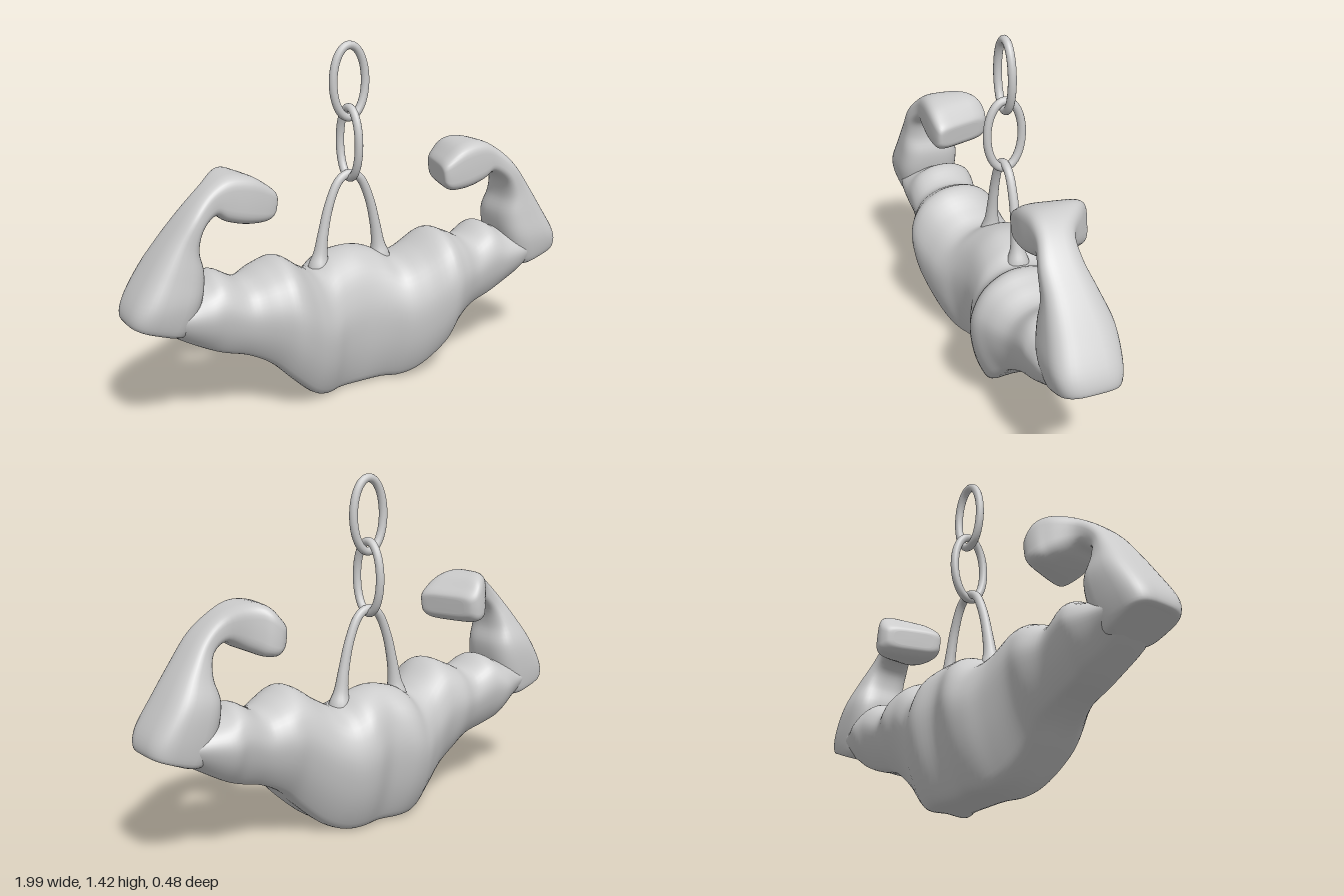
import * as THREE from 'three';

const material = new THREE.MeshStandardMaterial({ color: 0xcccccc });

// Smoothly interpolates the rows of a small table of stations.
function smoothRows(rows, steps) {
  const out = [];
  const last = rows.length - 1;
  for (let i = 0; i < last; i++) {
    const [a, b, c, d] = [rows[Math.max(i - 1, 0)], rows[i], rows[i + 1], rows[Math.min(i + 2, last)]];
    for (let s = 0; s < steps; s++) {
      const t = s / steps;
      out.push(b.map((v, k) => v + 0.5 * t * (c[k] - a[k] +
        t * (2 * a[k] - 5 * v + 4 * c[k] - d[k] + t * (3 * (v - c[k]) + d[k] - a[k])))));
    }
  }
  out.push(rows[last]);
  return out;
}

// Closed skin over rings of points, with capped ends and outward faces.
function loft(rings) {
  const n = rings[0].length;
  const points = rings.flat();
  const index = [];
  for (let i = 0; i < rings.length - 1; i++) {
    for (let j = 0; j < n; j++) {
      const a = i * n + j, b = i * n + (j + 1) % n;
      index.push(a, b, a + n, b, b + n, a + n);
    }
  }
  [0, rings.length - 1].forEach((r, end) => {
    const centre = rings[r].reduce((s, p) => s.add(p), new THREE.Vector3()).divideScalar(n);
    points.push(centre);
    for (let j = 0; j < n; j++) {
      const a = r * n + j, b = r * n + (j + 1) % n;
      index.push(points.length - 1, end ? a : b, end ? b : a);
    }
  });
  let volume = 0;
  for (let i = 0; i < index.length; i += 3) {
    const [a, b, c] = [0, 1, 2].map((k) => points[index[i + k]]);
    volume += a.dot(b.clone().cross(c));
  }
  if (volume < 0) index.reverse();
  const geometry = new THREE.BufferGeometry().setFromPoints(points);
  geometry.setIndex(index);
  geometry.computeVertexNormals();
  return geometry;
}

function add(parent, name, geometry) {
  const mesh = new THREE.Mesh(geometry, material);
  mesh.name = name;
  parent.add(mesh);
  return mesh;
}

// Torso and upper arms: x, top, bottom, front, back
function torsoGeometry() {
  const half = [
    [0, 0.575, 0.005, 0.12, -0.225],
    [0.1, 0.555, 0.005, 0.135, -0.25],
    [0.18, 0.515, 0.008, 0.17, -0.23],
    [0.26, 0.55, 0.045, 0.2, -0.195],
    [0.36, 0.615, 0.135, 0.232, -0.172],
    [0.44, 0.59, 0.212, 0.205, -0.17],
    [0.53, 0.555, 0.26, 0.165, -0.14],
    [0.63, 0.6, 0.29, 0.155, -0.15],
    [0.7, 0.57, 0.32, 0.155, -0.158],
    [0.79, 0.545, 0.37, 0.15, -0.122],
    [0.88, 0.52, 0.425, 0.12, -0.095],
    [0.95, 0.5, 0.46, 0.09, -0.07],
  ];
  const mirrored = half.slice(1).reverse().map(([x, ...rest]) => [-x, ...rest]);
  // Cross-section: narrow flat base, widest at chest height, rounded top
  const side = [[0.45, 0.96], [0.83, 0.82], [1, 0.6], [0.9, 0.32], [0.62, 0.06], [0.46, 0]];
  const outline = [[0, 1], ...side, [0, 0], ...side.map(([u, v]) => [-u, v]).reverse()];
  const section = new THREE.CatmullRomCurve3(
    outline.map(([u, v]) => new THREE.Vector3(u, v, 0)), true).getPoints(56).slice(0, -1);
  // The base sits slightly forward of the chest.
  return loft(smoothRows([...mirrored, ...half], 5).map(([x, top, bottom, front, back]) =>
    section.map((p) => new THREE.Vector3(
      x,
      bottom + (top - bottom) * p.y,
      (front + back) / 2 + p.x * (front - back) / 2 + 0.05 * (top - bottom) * (1 - p.y)))));
}

// Elbow, forearm and fist: outer x, y, inner x, y, front, back, skew, squareness
function forearmGeometry(sign) {
  const rows = [
    [0.965, 0.452, 0.83, 0.395, 0.11, -0.08, 0, 0.6],
    [0.994, 0.47, 0.77, 0.405, 0.143, -0.1, 0, 0.6],
    [0.98, 0.535, 0.715, 0.525, 0.163, -0.112, 0, 0.6],
    [0.91, 0.65, 0.698, 0.63, 0.152, -0.108, 0, 0.65],
    [0.83, 0.765, 0.715, 0.715, 0.138, -0.07, 0, 0.7],
    [0.745, 0.87, 0.7, 0.79, 0.132, -0.035, 0, 0.7],
    [0.66, 0.943, 0.645, 0.83, 0.112, -0.04, 0, 0.65],
    [0.578, 0.978, 0.592, 0.8, 0.11, -0.11, 0.05, 0.5],
    [0.5, 0.965, 0.53, 0.778, 0.112, -0.145, -0.15, 0.45],
    [0.44, 0.92, 0.462, 0.775, 0.105, -0.155, -0.3, 0.45],
    [0.415, 0.893, 0.428, 0.795, 0.09, -0.14, -0.33, 0.5],
    [0.412, 0.875, 0.42, 0.812, 0.06, -0.11, -0.33, 0.5],
  ];
  const sides = 40;
  const soft = (v, power) => Math.sign(v) * Math.abs(v) ** power;
  return loft(smoothRows(rows, 5).map(([ox, oy, ix, iy, front, back, skew, power]) =>
    Array.from({ length: sides }, (_, j) => {
      const angle = j / sides * Math.PI * 2;
      const t = (1 + soft(Math.cos(angle), power)) / 2;
      const z = (front + back) / 2 + soft(Math.sin(angle), power) * (front - back) / 2;
      return new THREE.Vector3(sign * (ix + (ox - ix) * t + skew * z), iy + (oy - iy) * t, z);
    })));
}

// Arched loop that swells where it meets the shoulders: x, y, radius
function loopGeometry() {
  const half = [
    [0, 0.885, 0.018], [0.055, 0.855, 0.018], [0.098, 0.76, 0.019],
    [0.125, 0.65, 0.022], [0.138, 0.57, 0.029], [0.145, 0.52, 0.044], [0.147, 0.48, 0.052],
  ];
  const rows = smoothRows(
    [...half.slice(1).reverse().map(([x, y, r]) => [-x, y, r]), ...half], 6);
  const sides = 16;
  return loft(rows.map(([x, y, r], i) => {
    const a = rows[Math.max(i - 1, 0)], b = rows[Math.min(i + 1, rows.length - 1)];
    const normal = new THREE.Vector3(a[1] - b[1], b[0] - a[0], 0).normalize();
    return Array.from({ length: sides }, (_, j) => {
      const angle = j / sides * Math.PI * 2;
      return new THREE.Vector3(x, y, Math.sin(angle) * r)
        .addScaledVector(normal, Math.cos(angle) * r);
    });
  }));
}

// Oval chain link
function linkGeometry() {
  const points = Array.from({ length: 24 }, (_, i) => {
    const angle = i / 24 * Math.PI * 2;
    return new THREE.Vector3(Math.cos(angle) * 0.074, Math.sin(angle) * 0.144, 0);
  });
  return new THREE.TubeGeometry(new THREE.CatmullRomCurve3(points, true), 64, 0.017, 14, true);
}

export function createModel() {
  const model = new THREE.Group();
  model.name = 'flexingTorsoPendant';

  add(model, 'torso', torsoGeometry());
  add(model, 'leftForearm', forearmGeometry(1));
  add(model, 'rightForearm', forearmGeometry(-1));

  // Hanger
  const hanger = new THREE.Group();
  hanger.name = 'hanger';
  hanger.position.set(0.005, 0, -0.04);
  model.add(hanger);
  add(hanger, 'loop', loopGeometry());
  const lower = add(hanger, 'lowerLink', linkGeometry());
  lower.position.y = 1.012;
  lower.rotation.y = Math.PI / 2;
  add(hanger, 'upperLink', linkGeometry()).position.y = 1.26;

  return model;
}
